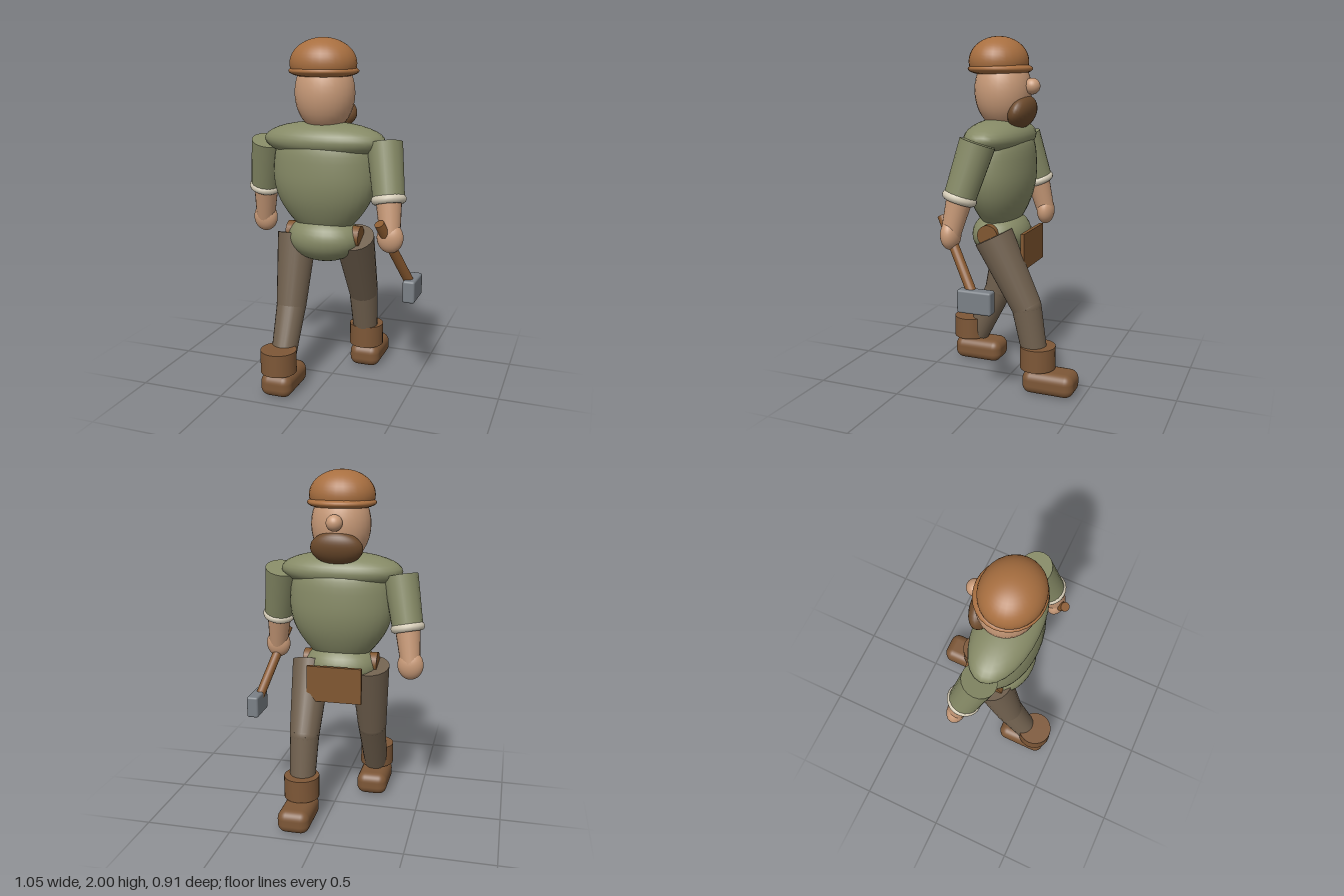
import * as THREE from 'three';
import { RoundedBoxGeometry } from 'three/addons/geometries/RoundedBoxGeometry.js';

const paint = (name, hex) => {
  const m = new THREE.MeshStandardMaterial({ color: hex });
  m.name = name;
  return m;
};

export function createModel() {
  const mat = {
    skin: paint('skin', 0xc89a78),
    cap: paint('cap tan', 0xa86f40),
    shirt: paint('shirt green', 0x868a66),
    cuff: paint('cream', 0xd6cdb8),
    trousers: paint('trouser brown', 0x71614f),
    boots: paint('boot leather', 0x7d5737),
    beard: paint('beard brown', 0x6c4a2c),
    handle: paint('wood', 0x8a5a30),
    metal: paint('steel', 0x7a8086),
    leather: paint('belt leather', 0x80562f),
  };
  const model = new THREE.Group();
  model.name = 'craftsman';

  const add = (name, geometry, material, pos = [0, 0, 0], parent = model) => {
    const mesh = new THREE.Mesh(geometry, material);
    mesh.name = name;
    mesh.position.set(...pos);
    parent.add(mesh);
    return mesh;
  };
  const blob = (name, material, pos, radii, parent) => {
    const mesh = add(name, new THREE.SphereGeometry(1, 28, 18), material, pos, parent);
    mesh.scale.set(...radii);
    return mesh;
  };
  const up = new THREE.Vector3(0, 1, 0);
  // tapered cylinder from point a to point b
  const limb = (name, material, a, b, ra, rb, parent) => {
    const A = new THREE.Vector3(...a), B = new THREE.Vector3(...b);
    const dir = B.clone().sub(A);
    const mesh = add(name, new THREE.CylinderGeometry(rb, ra, dir.length(), 20), material,
      A.clone().add(B).multiplyScalar(0.5).toArray(), parent);
    mesh.quaternion.setFromUnitVectors(up, dir.normalize());
    return mesh;
  };

  // head, beard and cap
  const cx = -0.025;
  blob('head', mat.skin, [cx, 1.7, 0.055], [0.17, 0.22, 0.162]);
  blob('nose', mat.skin, [cx, 1.725, -0.12], [0.046, 0.046, 0.046]);
  blob('beard', mat.beard, [cx, 1.58, -0.063], [0.15, 0.098, 0.067]).rotation.x = -0.35;
  const dome = add('capDome', new THREE.SphereGeometry(1, 28, 14, 0, Math.PI * 2, 0, Math.PI * 0.58),
    mat.cap, [cx, 1.86, 0.08]);
  dome.scale.set(0.188, 0.14, 0.168);
  blob('capBrim', mat.cap, [cx, 1.82, 0.071], [0.197, 0.042, 0.183]);

  // torso: lathe squashed front to back
  const profile = [[0.001, 0.87], [0.1, 0.9], [0.165, 0.955], [0.215, 1.01], [0.262, 1.08], [0.29, 1.15],
    [0.302, 1.22], [0.3, 1.3], [0.288, 1.38], [0.25, 1.44], [0.15, 1.48], [0.001, 1.5]];
  const curve = new THREE.SplineCurve(profile.map(([r, y]) => new THREE.Vector2(r, y)));
  const points = curve.getPoints(24).map((p) => new THREE.Vector2(Math.max(p.x, 0), p.y));
  add('torso', new THREE.LatheGeometry(points, 32), mat.shirt, [cx, 0, 0.063]).scale.z = 0.615;
  blob('shoulders', mat.shirt, [cx, 1.44, 0.068], [0.355, 0.105, 0.174]);
  blob('shirtTail', mat.shirt, [cx, 0.875, 0.063], [0.219, 0.136, 0.165]);

  // belt bar and apron flap
  limb('belt', mat.leather, [-0.245, 0.895, 0.065], [0.195, 0.895, 0.065], 0.062, 0.062);
  add('apronFlap', new THREE.BoxGeometry(0.32, 0.21, 0.022), mat.leather, [cx, 0.805, -0.125]);

  // legs in mid stride
  const legs = [
    { side: 'right', hip: [-0.2, 0.88, 0.05], knee: [-0.2, 0.47, 0.155], ankle: [-0.2, 0.16, 0.3], cuffZ: 0.35, bootZ: 0.278 },
    { side: 'left', hip: [0.148, 0.885, 0.045], knee: [0.145, 0.495, -0.155], ankle: [0.145, 0.16, -0.218], cuffZ: -0.225, bootZ: -0.303 },
  ];
  for (const l of legs) {
    const g = new THREE.Group();
    g.name = l.side + 'Leg';
    model.add(g);
    limb('thigh', mat.trousers, l.hip, l.knee, 0.115, 0.087, g);
    blob('knee', mat.trousers, l.knee, [0.086, 0.086, 0.086], g);
    limb('shin', mat.trousers, l.knee, l.ankle, 0.086, 0.07, g);
    const x = l.ankle[0];
    add('bootCuff', new THREE.CylinderGeometry(0.103, 0.103, 0.13, 24), mat.boots, [x, 0.205, l.cuffZ], g);
    add('boot', new RoundedBoxGeometry(0.186, 0.135, 0.305, 5, 0.052), mat.boots, [x, 0.0675, l.bootZ], g);
  }

  // arms
  const arms = [
    { side: 'right', top: [-0.368, 1.42, 0.057], end: [-0.425, 1.14, -0.015], hand: [-0.452, 0.935, -0.06] },
    { side: 'left', top: [0.325, 1.435, 0.06], end: [0.377, 1.14, 0.145], hand: [0.4, 0.94, 0.19] },
  ];
  for (const a of arms) {
    const g = new THREE.Group();
    g.name = a.side + 'Arm';
    model.add(g);
    limb('sleeve', mat.shirt, a.top, a.end, 0.1, 0.088, g);
    const ring = add('sleeveCuff', new THREE.TorusGeometry(0.072, 0.026, 10, 24), mat.cuff, a.end, g);
    const dir = new THREE.Vector3(...a.end).sub(new THREE.Vector3(...a.top)).normalize();
    ring.quaternion.setFromUnitVectors(new THREE.Vector3(0, 0, 1), dir);
    limb('forearm', mat.skin, a.end, a.hand, 0.072, 0.055, g);
    blob('hand', mat.skin, a.hand, [0.074, 0.085, 0.054], g);
  }

  // hammer in the left hand
  const hammer = new THREE.Group();
  hammer.name = 'hammer';
  model.add(hammer);
  limb('hammerHandle', mat.handle, [0.358, 1.03, 0.26], [0.484, 0.62, 0.015], 0.028, 0.028, hammer);
  add('hammerHead', new RoundedBoxGeometry(0.07, 0.128, 0.195, 2, 0.012), mat.metal, [0.486, 0.608, 0.006], hammer);

  return model;
}
